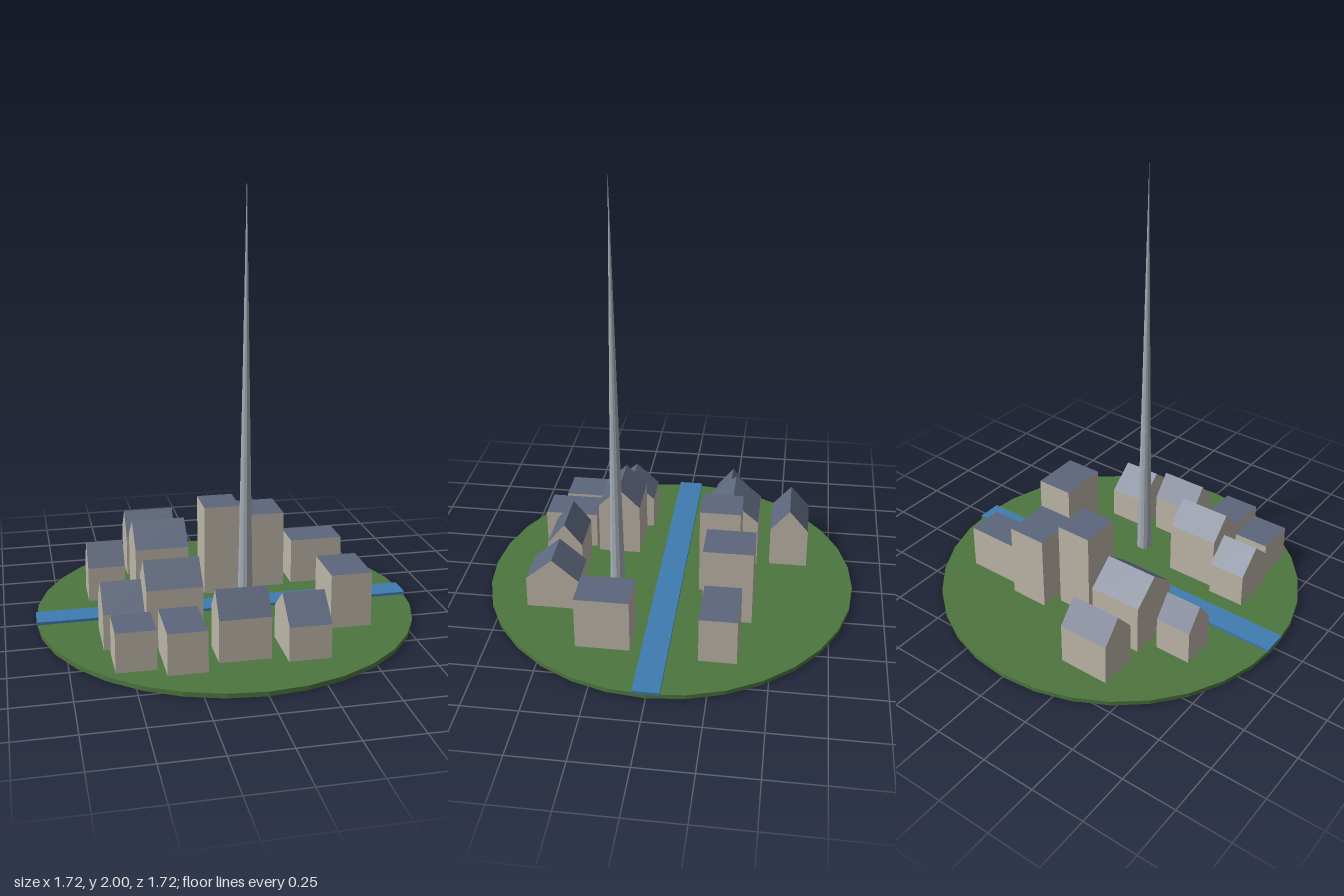
import * as THREE from 'three';

const GROUND = 0.02;

function material(name, color, flatShading = true) {
  const m = new THREE.MeshStandardMaterial({ color, flatShading });
  m.name = name;
  return m;
}

// Box whose top middle line is lifted to a ridge along x when ridge > eave
function buildingGeometry(width, depth, eave, ridge) {
  const box = new THREE.BoxGeometry(width, eave - GROUND, depth, 1, 1, ridge > eave ? 2 : 1);
  box.translate(0, (eave + GROUND) / 2, 0);
  const p = box.attributes.position;
  for (let i = 0; i < p.count; i++) {
    if (Math.abs(p.getZ(i)) < 1e-5 && p.getY(i) > eave - 1e-5) p.setY(i, ridge);
  }
  const g = box.toNonIndexed();
  g.computeVertexNormals();
  return g;
}

// x0, x1, z0, z1, eave height, ridge height (left out for a flat roof)
const BUILDINGS = [
  // north bank
  [-0.395, -0.155, -0.64, -0.46, 0.215, 0.32],
  [-0.39, -0.14, -0.40, -0.15, 0.257, 0.36],
  [-0.61, -0.44, -0.325, -0.165, 0.18, 0.28],
  [-0.065, 0.105, -0.33, -0.143, 0.445],
  [0.142, 0.328, -0.405, -0.18, 0.383],
  [0.37, 0.62, -0.36, -0.193, 0.235],
  // south bank
  [-0.595, -0.42, 0.145, 0.37, 0.18, 0.282],
  [-0.413, -0.17, 0.18, 0.382, 0.275, 0.375],
  [0.405, 0.59, 0.11, 0.353, 0.267],
  [-0.57, -0.40, 0.402, 0.588, 0.193],
  [-0.368, -0.20, 0.40, 0.652, 0.2],
  [-0.143, 0.08, 0.417, 0.583, 0.205, 0.31],
  [0.142, 0.325, 0.385, 0.63, 0.17, 0.275],
];

export function createModel() {
  const model = new THREE.Group();
  model.name = 'riversideTown';

  const grass = material('grass', 0x4d763f);
  const water = material('water', 0x3f7cb0);
  const wall = material('wall', 0xbdb6a8);
  const roof = material('roof', 0x5c667c);
  const steel = material('steel', 0xa6aeb6);

  const add = (name, geometry, mat, x = 0, y = 0, z = 0) => {
    const mesh = new THREE.Mesh(geometry, mat);
    mesh.name = name;
    mesh.position.set(x, y, z);
    model.add(mesh);
    return mesh;
  };

  // Round lawn and the river across it
  add('ground', new THREE.CylinderGeometry(0.86, 0.86, GROUND, 32), grass, 0, GROUND / 2, 0);
  add('river', new THREE.BoxGeometry(1.72, 0.014, 0.118), water, 0, 0.026, 0);

  // Houses and blocks: the top faces take the roof colour
  const sides = [wall, wall, roof, wall, wall, wall];
  BUILDINGS.forEach(([x0, x1, z0, z1, eave, ridge = eave]) => {
    add(ridge > eave ? 'gabledHouse' : 'flatBlock',
      buildingGeometry(x1 - x0, z1 - z0, eave, ridge), sides,
      (x0 + x1) / 2, 0, (z0 + z1) / 2);
  });

  // Tall needle beside the river
  const height = 2 - GROUND;
  add('spire', new THREE.ConeGeometry(0.036, height, 12), steel, 0.04, GROUND + height / 2, 0.257);

  return model;
}
